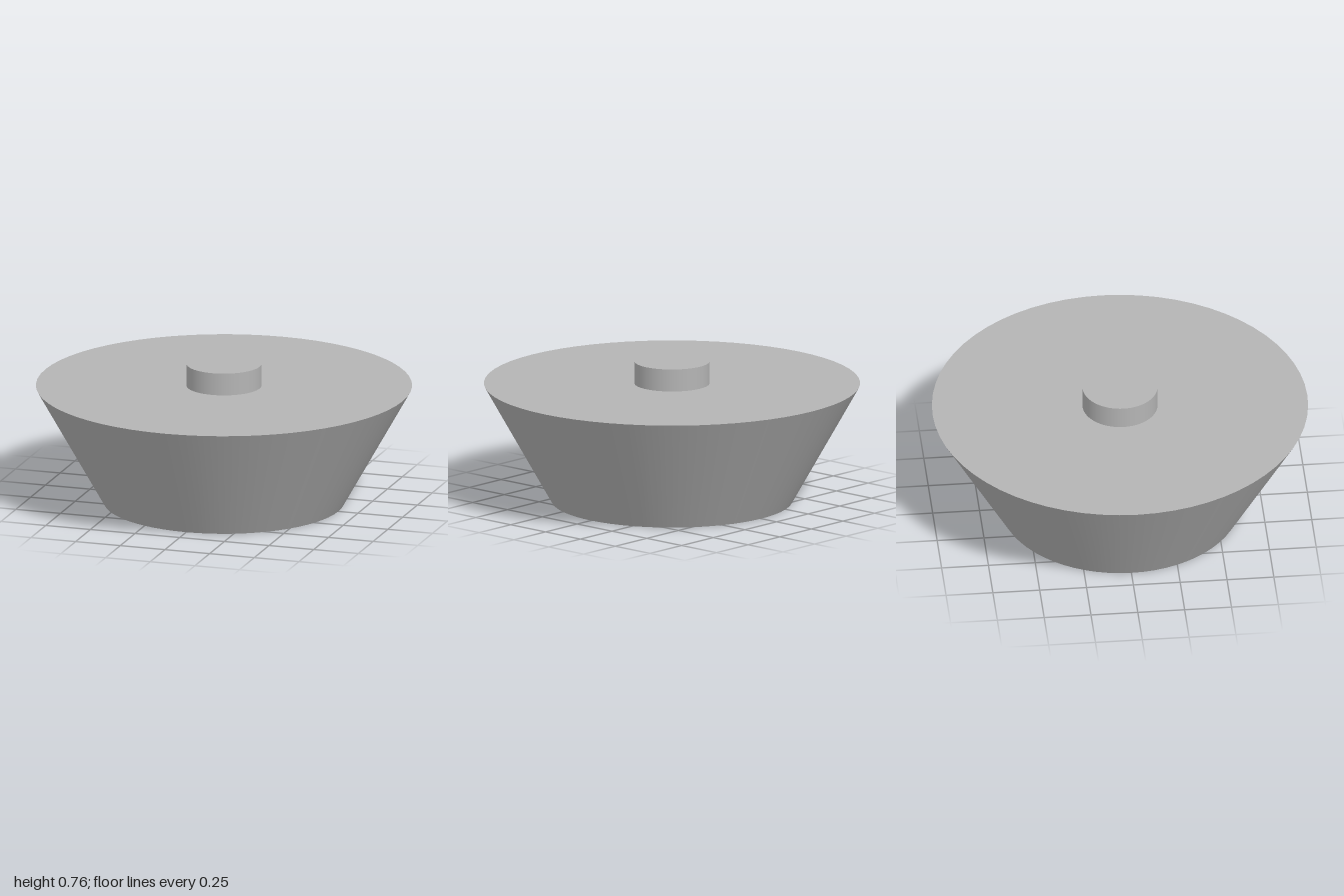
import * as THREE from 'three';

export function createModel() {
  const model = new THREE.Group();
  const grey = new THREE.MeshStandardMaterial({ color: 0xb4b4b4 });
  grey.name = 'plain grey';

  // Upright round part standing on height y
  function addRound(name, topRadius, bottomRadius, height, y) {
    const geometry = new THREE.CylinderGeometry(topRadius, bottomRadius, height, 64);
    const mesh = new THREE.Mesh(geometry, grey);
    mesh.name = name;
    mesh.position.y = y + height / 2;
    model.add(mesh);
  }

  // Flared body, wider at the top
  addRound('taperedBody', 1, 0.64, 0.64, 0);
  // Short stub at the centre of the top
  addRound('topStub', 0.2, 0.2, 0.12, 0.64);

  return model;
}
